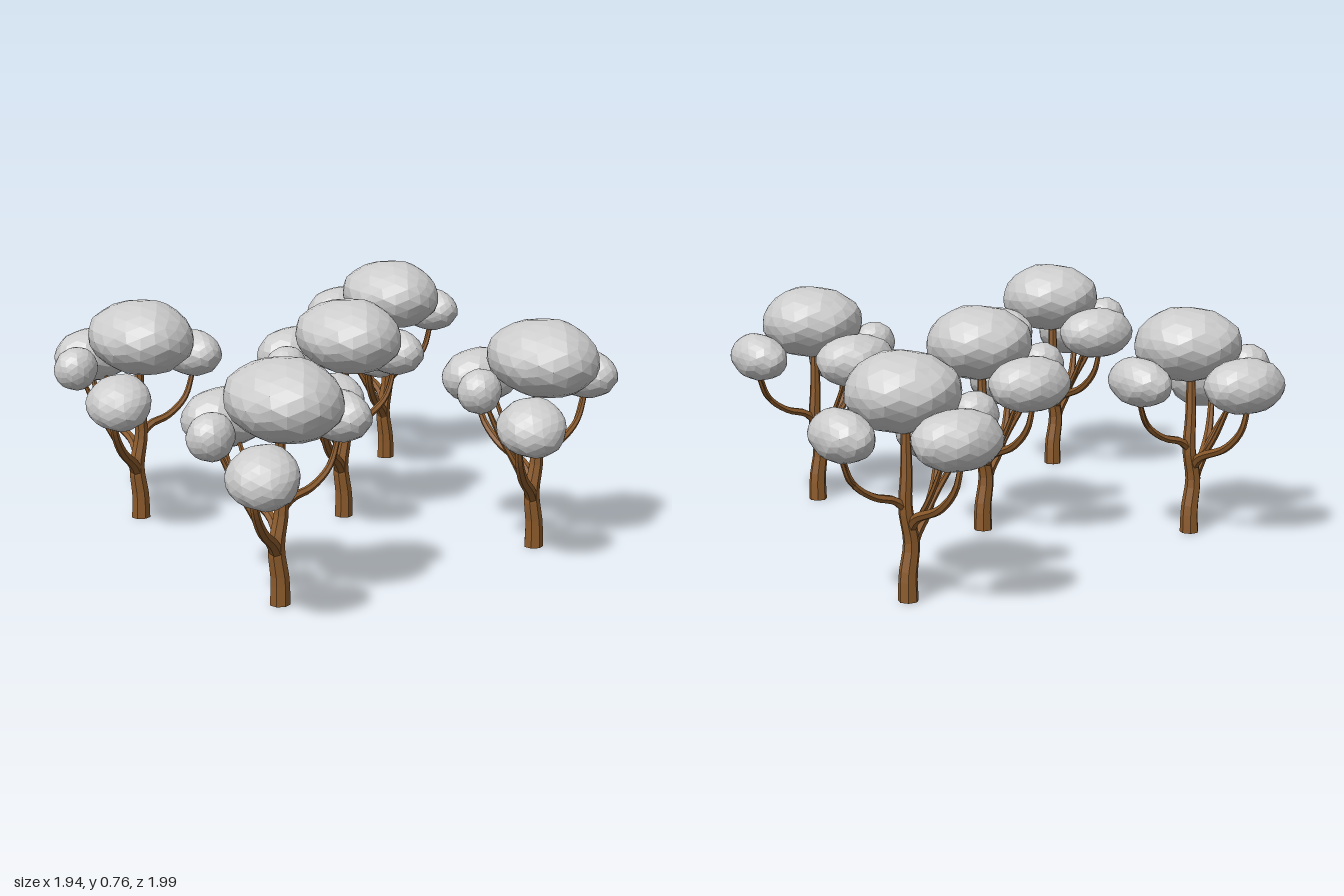
import * as THREE from 'three';

const bark = new THREE.MeshStandardMaterial({ color: 0x8b5a2b, flatShading: true });
const leaf = new THREE.MeshStandardMaterial({ color: 0xcccccc, flatShading: true });

// Tapered limb swept through a few points
function limb(name, points, r0, r1, sides = 6) {
  const curve = new THREE.CatmullRomCurve3(points.map(p => new THREE.Vector3(...p)), false, 'centripetal');
  const rings = points.length * 3;
  const geo = new THREE.TubeGeometry(curve, rings, 1, sides);
  const pos = geo.attributes.position, v = new THREE.Vector3();
  for (let i = 0; i < pos.count; i++) {
    const t = Math.floor(i / (sides + 1)) / rings;
    const c = curve.getPointAt(t);
    v.fromBufferAttribute(pos, i).sub(c).multiplyScalar(r0 + (r1 - r0) * t).add(c);
    pos.setXYZ(i, v.x, v.y, v.z);
  }
  const mesh = new THREE.Mesh(geo, bark);
  mesh.name = name;
  return mesh;
}

// Lumpy faceted leaf cluster; pinch narrows it towards -z
function cluster(name, centre, radii, seed, tilt = [0, 0, 0], pinch = 0) {
  const geo = new THREE.IcosahedronGeometry(1, 3);
  const pos = geo.attributes.position, v = new THREE.Vector3();
  for (let i = 0; i < pos.count; i++) {
    v.fromBufferAttribute(pos, i);
    const lump = 1 + 0.025 * Math.sin(3.1 * v.x + seed) * Math.cos(2.7 * v.z - seed)
      + 0.018 * Math.sin(7 * v.x + 5 * v.y + 6 * v.z + seed * 2);
    v.multiplyScalar(lump);
    v.x *= 1 + pinch * v.z;
    pos.setXYZ(i, v.x * radii[0], v.y * radii[1], v.z * radii[2]);
  }
  const mesh = new THREE.Mesh(geo, leaf);
  mesh.name = name;
  mesh.position.set(...centre);
  mesh.rotation.set(...tilt);
  return mesh;
}

function makeTree() {
  const tree = new THREE.Group();

  // Trunk and its flat foot
  tree.add(limb('trunk', [[0.05, 0, -0.04], [0.05, 0.08, -0.04], [0.038, 0.18, -0.04],
    [0.06, 0.29, -0.045], [0.056, 0.4, -0.045], [0.055, 0.55, -0.04]], 0.032, 0.014, 7));
  const foot = new THREE.Mesh(new THREE.CircleGeometry(0.03, 7), bark);
  foot.name = 'trunkFoot';
  foot.rotation.x = Math.PI / 2;
  foot.position.set(0.05, 0.001, -0.04);
  tree.add(foot);

  // Branches
  tree.add(
    limb('frontBranch', [[0.042, 0.155, -0.04], [0.01, 0.2, -0.015], [-0.045, 0.25, 0.02],
      [-0.09, 0.32, 0.055], [-0.12, 0.42, 0.085]], 0.021, 0.01),
    limb('sideTwig', [[-0.035, 0.24, 0.015], [-0.08, 0.32, 0.01], [-0.12, 0.4, -0.01],
      [-0.165, 0.51, -0.03]], 0.012, 0.007),
    limb('rightBranch', [[0.055, 0.285, -0.045], [0.1, 0.32, -0.05], [0.17, 0.34, -0.055],
      [0.245, 0.395, -0.065], [0.285, 0.5, -0.07]], 0.015, 0.008),
    limb('rightTwig', [[0.235, 0.385, -0.063], [0.265, 0.41, -0.085], [0.3, 0.49, -0.1]], 0.009, 0.006),
    limb('backBranch', [[0.042, 0.22, -0.04], [0.045, 0.265, -0.085], [0.03, 0.32, -0.21],
      [0.015, 0.39, -0.275], [0.005, 0.48, -0.295]], 0.017, 0.009),
    limb('backTwig', [[0.042, 0.28, -0.11], [0.03, 0.36, -0.16], [0.01, 0.5, -0.22]], 0.01, 0.007),
  );

  // Canopy
  tree.add(
    cluster('crown', [0.042, 0.636, 0.002], [0.175, 0.123, 0.192], 0.6, [0.06, 0, 0]),
    cluster('backCluster', [0.003, 0.537, -0.278], [0.143, 0.092, 0.11], 2.1, [0, 0.05, 0], 0.16),
    cluster('rightCluster', [0.282, 0.543, -0.075], [0.086, 0.079, 0.126], 3.4, [-0.06, 0.12, 0.1]),
    cluster('frontCluster', [-0.131, 0.463, 0.166], [0.107, 0.082, 0.113], 4.7, [0.35, 0, 0.35]),
    cluster('leftCluster', [-0.186, 0.548, -0.032], [0.075, 0.073, 0.068], 5.5, [0, 0.2, 0]),
  );
  return tree;
}

export function createModel() {
  const grove = new THREE.Group();
  grove.name = 'grove';
  const spots = [[0, 0], [-0.59, -0.37], [0.6, -0.61], [-0.71, 0.72], [0.31, 0.655]];
  const tree = makeTree();
  spots.forEach(([x, z], i) => {
    const copy = tree.clone();
    copy.name = 'tree' + (i + 1);
    copy.position.set(x, 0, z);
    grove.add(copy);
  });
  return grove;
}
